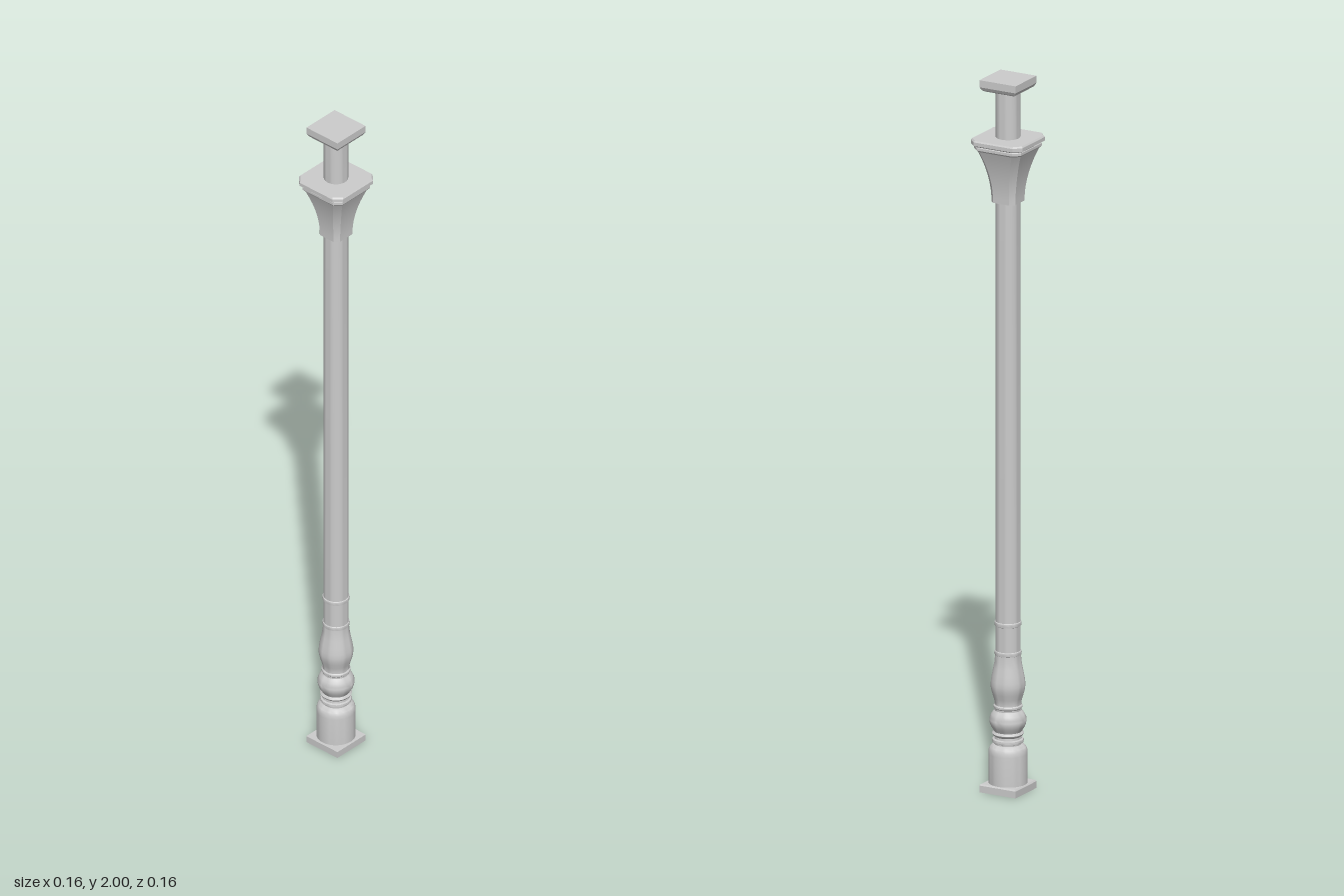
import * as THREE from 'three';
import { toCreasedNormals } from 'three/addons/utils/BufferGeometryUtils.js';

const material = new THREE.MeshStandardMaterial({ color: 0xcccccc });

function addPart(group, name, geometry, crease = 0.6) {
  const mesh = new THREE.Mesh(toCreasedNormals(geometry, crease), material);
  mesh.name = name;
  group.add(mesh);
}

// Round turned part from [radius, y] points, bottom to top.
function turned(profile, segments = 32) {
  return new THREE.LatheGeometry(profile.map(([r, y]) => new THREE.Vector2(r, y)), segments);
}

// Square outline, with cut corners when c > 0.
function outline(h, c) {
  const points = [];
  for (let i = 0; i < 4; i++) {
    const a = (i * Math.PI) / 2;
    const corner = c > 0 ? [[h, h - c], [h - c, h]] : [[h, h]];
    for (const [x, z] of corner) {
      points.push([x * Math.cos(a) - z * Math.sin(a), x * Math.sin(a) + z * Math.cos(a)]);
    }
  }
  return points;
}

// Solid through square sections [half width, y, corner cut], closed at both ends.
function squareLoft(sections) {
  const positions = [];
  const index = [];
  let n = 4;
  for (const [h, y, c = 0] of sections) {
    const ring = outline(h, c);
    n = ring.length;
    for (const [x, z] of ring) positions.push(x, y, z);
  }
  const last = (sections.length - 1) * n;
  for (let s = 0; s < last; s += n) {
    for (let i = 0; i < n; i++) {
      const j = (i + 1) % n;
      index.push(s + i, s + n + i, s + j, s + j, s + n + i, s + n + j);
    }
  }
  for (let i = 1; i < n - 1; i++) {
    index.push(0, i, i + 1, last, last + i + 1, last + i);
  }
  const geometry = new THREE.BufferGeometry();
  geometry.setAttribute('position', new THREE.Float32BufferAttribute(positions, 3));
  geometry.setIndex(index);
  return geometry;
}

export function createModel() {
  const post = new THREE.Group();
  post.name = 'columnPost';

  // Square foot with a recess underneath
  addPart(post, 'plinth', squareLoft([
    [0.038, 0.016], [0.038, 0], [0.056, 0], [0.056, 0.019], [0.053, 0.023],
  ]), 0.3);

  // Drum with rounded shoulder
  addPart(post, 'pedestalDrum', turned([
    [0.053, 0.02], [0.053, 0.105], [0.052, 0.115], [0.049, 0.123], [0.044, 0.129], [0.037, 0.132],
  ]));

  // Stacked rings, bulb and vase
  addPart(post, 'turnedBase', turned([
    [0.037, 0.13], [0.037, 0.136], [0.042, 0.138], [0.043, 0.142], [0.042, 0.146], [0.037, 0.148],
    [0.036, 0.154], [0.041, 0.158], [0.043, 0.162], [0.041, 0.166], [0.038, 0.168],
    [0.041, 0.174], [0.046, 0.182], [0.049, 0.191], [0.05, 0.2], [0.049, 0.207],
    [0.045, 0.216], [0.04, 0.223], [0.036, 0.227], [0.036, 0.232],
    [0.039, 0.235], [0.039, 0.24], [0.036, 0.243], [0.036, 0.25],
    [0.039, 0.262], [0.043, 0.275], [0.046, 0.287], [0.047, 0.298], [0.046, 0.31],
    [0.043, 0.328], [0.039, 0.348], [0.036, 0.366], [0.035, 0.383],
  ]));

  // Shaft collars
  for (const [name, y] of [['lowerCollar', 0.388], ['upperCollar', 0.47]]) {
    addPart(post, name, turned([
      [0.033, y - 0.007], [0.036, y - 0.005], [0.037, y], [0.036, y + 0.005], [0.033, y + 0.007],
    ]));
  }

  addPart(post, 'shaft', turned([[0.034, 0.38], [0.033, 1.67]]));

  // Flared capital with cut corners
  const flare = [];
  for (let i = 0; i <= 10; i++) {
    const t = i / 10;
    flare.push([0.037 + 0.032 * t ** 1.9, 1.655 + 0.15 * t, 0.012 + 0.006 * t]);
  }
  addPart(post, 'capital', squareLoft(flare), 0.4);
  addPart(post, 'capitalMoulding', squareLoft([
    [0.07, 1.803, 0.018], [0.073, 1.807, 0.018], [0.073, 1.814, 0.018], [0.07, 1.818, 0.018],
  ]), 0.3);
  addPart(post, 'abacus', squareLoft([
    [0.074, 1.817, 0.019], [0.08, 1.821, 0.02], [0.08, 1.831, 0.02], [0.077, 1.835, 0.019],
  ]), 0.3);

  // Neck and square top plate with bevelled underside
  addPart(post, 'neck', turned([[0.033, 1.83], [0.033, 1.975]]));
  addPart(post, 'topPlate', squareLoft([
    [0.045, 1.967], [0.051, 1.971], [0.056, 1.98], [0.056, 2],
  ]), 0.3);

  return post;
}
